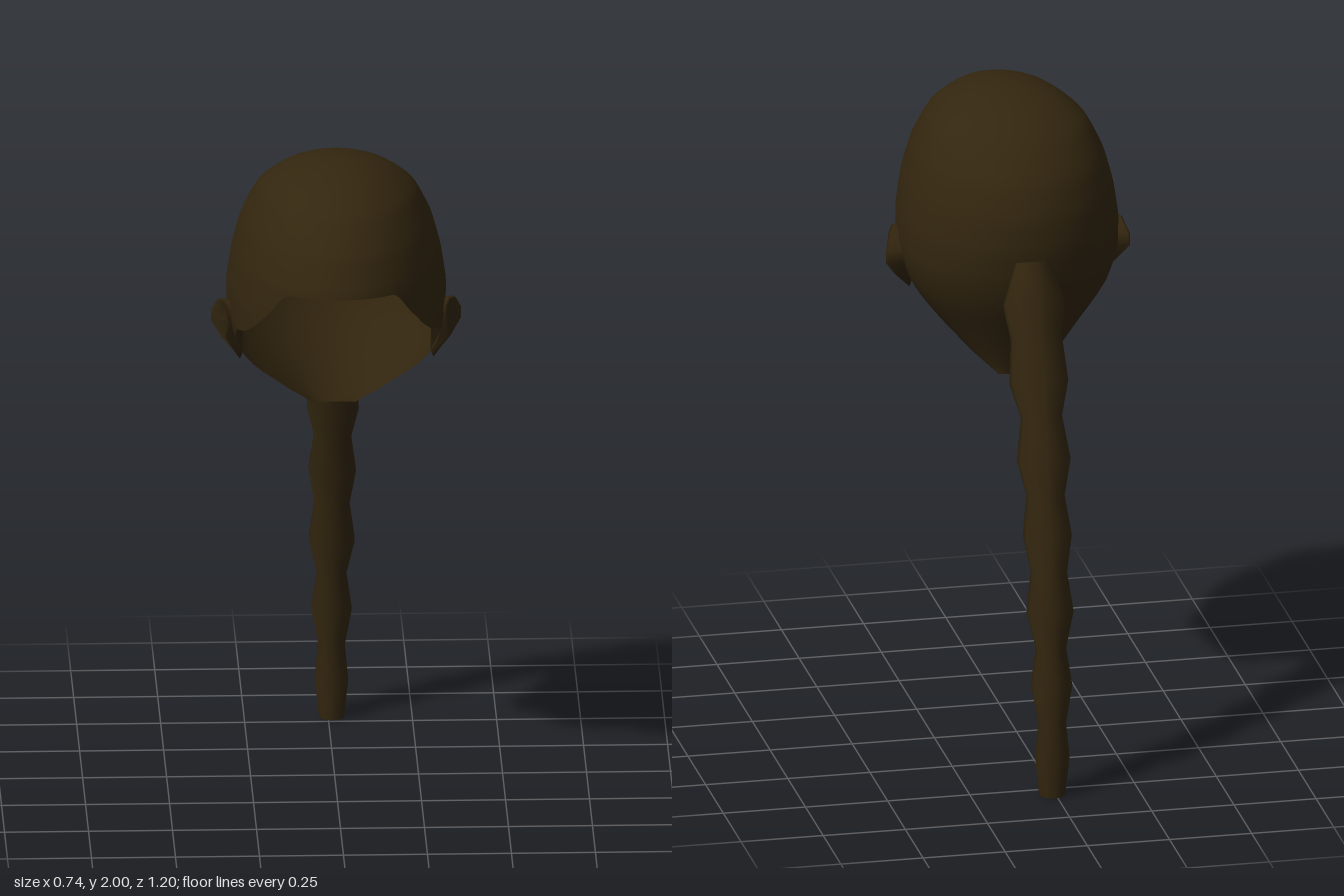
import * as THREE from 'three';

// Skin a list of closed rings (arrays of [x, y, z]) with smooth normals
function loft(rings, material, name) {
  const n = rings[0].length, index = [];
  for (let r = 0; r < rings.length - 1; r++) {
    for (let i = 0; i < n; i++) {
      const j = (i + 1) % n;
      const a = r * n + i, b = a + n, c = (r + 1) * n + j, d = r * n + j;
      index.push(a, b, c, a, c, d);
    }
  }
  const geo = new THREE.BufferGeometry();
  geo.setAttribute('position', new THREE.Float32BufferAttribute(rings.flat(2), 3));
  geo.setIndex(index);
  geo.computeVertexNormals();
  const mesh = new THREE.Mesh(geo, material);
  mesh.name = name;
  return mesh;
}

// Linear lookup of a table whose rows are [key, ...values], keys descending
function lookup(table, key) {
  let k = 0;
  while (k < table.length - 2 && key < table[k + 1][0]) k++;
  const [a, b] = [table[k], table[k + 1]];
  const t = THREE.MathUtils.clamp((key - a[0]) / (b[0] - a[0]), 0, 1);
  return a.slice(1).map((v, i) => v + (b[i + 1] - v) * t);
}

// Head cross-sections: -sqrt(depth below crown), half width, front z, back z, middle z
const SECTIONS = [
  [2.0, 0, 0.17, 0.17, 0.17], [1.99, 0.085, 0.28, 0.075, 0.165],
  [1.96, 0.16, 0.385, -0.02, 0.15], [1.9, 0.235, 0.48, -0.115, 0.13],
  [1.8, 0.285, 0.56, -0.2, 0.12], [1.7, 0.312, 0.6, -0.235, 0.12],
  [1.6, 0.327, 0.605, -0.24, 0.12], [1.5, 0.325, 0.605, -0.225, 0.12],
  [1.42, 0.3, 0.605, -0.195, 0.12], [1.36, 0.265, 0.6, -0.163, 0.12],
  [1.3, 0.215, 0.5, -0.127, 0.1], [1.22, 0.14, 0.3, -0.082, 0.03],
  [1.155, 0.065, 0.0, -0.05, -0.043],
].map(([y, ...rest]) => [-Math.sqrt(2 - y), ...rest]).map((r) => [r[0] + 0, ...r.slice(1)]);

// Hairline: cosine of the angle from the front, height of the edge
const HAIRLINE = [
  [1, 1.69], [0.85, 1.685], [0.77, 1.62], [0.65, 1.56], [0.52, 1.52], [0.375, 1.505],
  [0.27, 1.47], [0.17, 1.42], [0.1, 1.36], [0, 1.3], [-0.12, 1.22], [-0.25, 1.155], [-1, 1.155],
];

function makeCap(material) {
  const rows = 36, cols = 96, rings = [];
  for (let r = 0; r <= rows; r++) {
    const ring = [];
    for (let i = 0; i < cols; i++) {
      const phi = (i / cols) * Math.PI * 2, c = Math.cos(phi);
      const [edge] = lookup(HAIRLINE, c);
      const s = (r / rows) * Math.sqrt(2 - edge);
      const [w, front, back, mid] = lookup(SECTIONS, -s);
      ring.push([w * Math.sin(phi), 2 - s * s, mid + c * (c > 0 ? front - mid : mid - back)]);
    }
    rings.push(ring);
  }
  return loft(rings, material, 'hairCap');
}

// Braid rings from the top: front z, front y, back z, back y
const BRAID = [
  [-0.235, 1.575, -0.33, 1.61], [-0.21, 1.43, -0.375, 1.5], [-0.26, 1.33, -0.385, 1.41],
  [-0.28, 1.21, -0.44, 1.27], [-0.34, 1.13, -0.455, 1.16], [-0.355, 1.0, -0.505, 1.04],
  [-0.4, 0.91, -0.51, 0.92], [-0.41, 0.79, -0.55, 0.81], [-0.45, 0.69, -0.555, 0.69],
  [-0.45, 0.56, -0.585, 0.58], [-0.487, 0.46, -0.575, 0.46], [-0.48, 0.34, -0.6, 0.35],
  [-0.51, 0.23, -0.59, 0.23], [-0.5, 0.12, -0.6, 0.12], [-0.51, 0, -0.585, 0],
];

function makeBraid(material) {
  const sides = 10;
  const ring = ([zf, yf, zb, yb], size = 1) => Array.from({ length: sides }, (_, i) => {
    const a = (i / sides) * Math.PI * 2, c = Math.cos(a) * size;
    const radius = Math.hypot(zf - zb, yf - yb) / 2 * 1.04;
    return [0.01 + radius * size * Math.sin(a),
      (yf + yb) / 2 + c * (yf - yb) / 2, (zf + zb) / 2 + c * (zf - zb) / 2];
  });
  const group = new THREE.Group();
  group.name = 'braid';
  group.add(loft(BRAID.map((b) => ring(b)), material, 'braidStrand'));
  // Flat ends, kept separate so their edges stay sharp
  group.add(loft([ring(BRAID[0], 0), ring(BRAID[0])], material, 'braidTop'));
  const end = BRAID[BRAID.length - 1];
  group.add(loft([ring(end), ring(end, 0)], material, 'braidEnd'));
  return group;
}

// Flared tuft around the ear, outlined in [z, y]
function makeEarTuft(material) {
  const outline = [
    [0.115, 1.47], [0.115, 1.51], [0.16, 1.555], [0.205, 1.565],
    [0.235, 1.55], [0.235, 1.5], [0.2, 1.44], [0.18, 1.37], [0.145, 1.42],
  ];
  const [cz, cy] = [0.175, 1.49];
  const ring = (size, xOf) => outline.map(([z, y]) =>
    [xOf(z, y), cy + (y - cy) * size, cz + (z - cz) * size]);
  const flare = (z, y) => 0.33 + (0.23 - z) * 0.36 - Math.max(0, 1.45 - y) * 0.65;
  return loft([
    ring(0, () => 0.33), ring(0.6, (z, y) => flare(z, y) - 0.015),
    ring(0.9, flare), ring(1, (z, y) => flare(z, y) - 0.008), ring(0.85, () => 0.28),
  ], material, 'earTuft');
}

export function createModel() {
  const hair = new THREE.MeshStandardMaterial({ color: 0x33260f, side: THREE.DoubleSide });
  hair.name = 'darkBrownHair';

  const model = new THREE.Group();
  model.name = 'braidedHair';
  model.add(makeCap(hair), makeBraid(hair));
  for (const side of [1, -1]) {
    const tuft = makeEarTuft(hair);
    tuft.name = side > 0 ? 'leftEarTuft' : 'rightEarTuft';
    tuft.scale.x = side;
    model.add(tuft);
  }
  return model;
}
